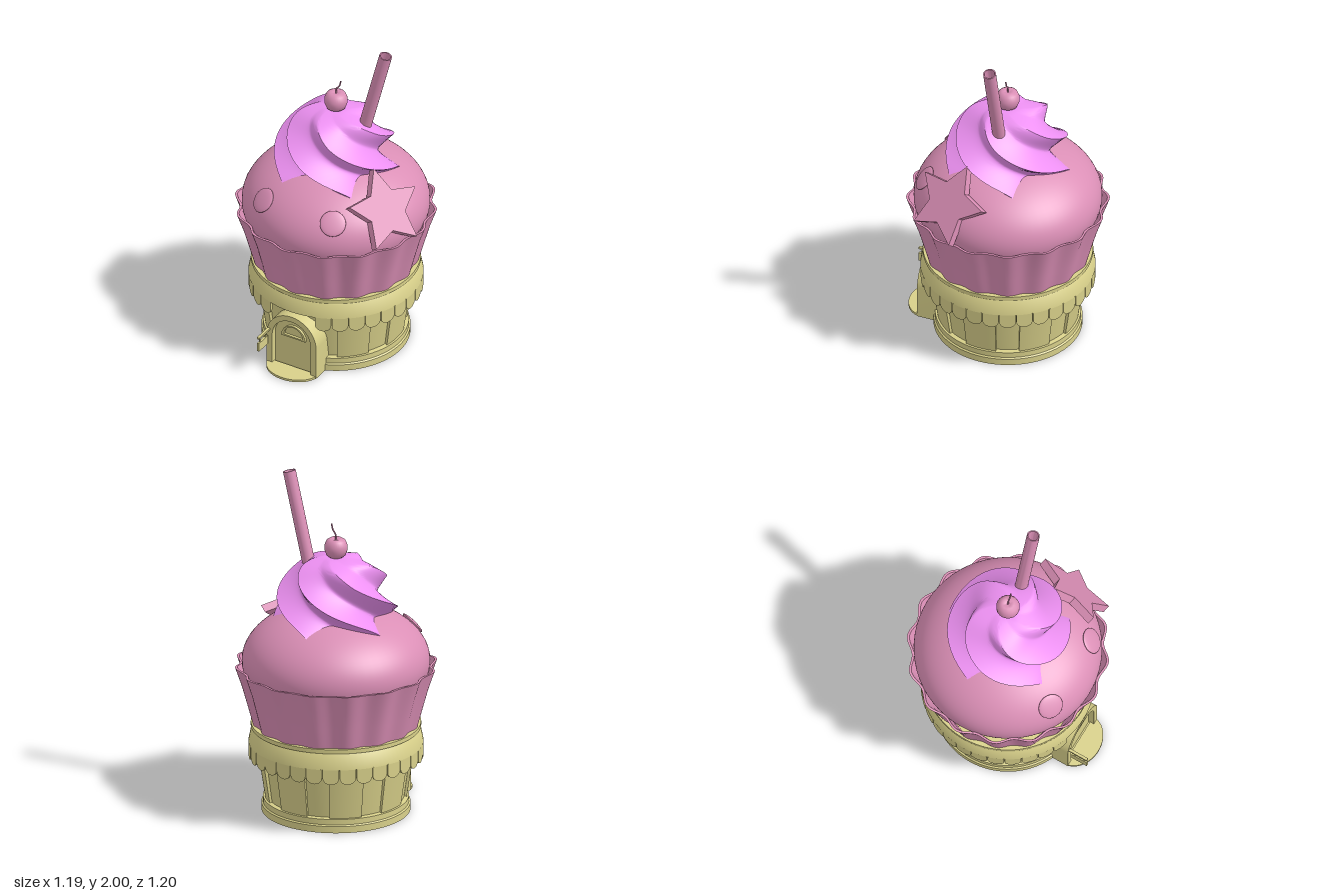
import * as THREE from 'three';
import { toCreasedNormals } from 'three/addons/utils/BufferGeometryUtils.js';

const paint = (color) => new THREE.MeshStandardMaterial({ color, side: THREE.DoubleSide });
const PINK = paint(0xdb8fb6), PURPLE = paint(0xee91f3), CREAM = paint(0xd8d08a);
const V = (x, y, z) => new THREE.Vector3(x, y, z);

function add(parent, name, geometry, material, x = 0, y = 0, z = 0) {
  const mesh = new THREE.Mesh(geometry, material);
  mesh.name = name;
  mesh.position.set(x, y, z);
  parent.add(mesh);
  return mesh;
}

function lathe(profile, segments = 96) {
  return new THREE.LatheGeometry(profile.map(([r, y]) => new THREE.Vector2(r, y)), segments);
}
const crease = (geometry, angle = 0.6) => toCreasedNormals(geometry, angle);

// Moves every vertex by rule(v, index)
function reshape(geometry, rule) {
  const pos = geometry.attributes.position, v = V(0, 0, 0);
  for (let i = 0; i < pos.count; i++) {
    rule(v.fromBufferAttribute(pos, i), i);
    pos.setXYZ(i, v.x, v.y, v.z);
  }
  return geometry;
}

const extrude = (shape, depth) =>
  new THREE.ExtrudeGeometry(shape, { depth, bevelEnabled: false, curveSegments: 20 });

// Doorway outline: straight sides with a round top
function arch(halfWidth, top, path = new THREE.Shape()) {
  path.moveTo(-halfWidth, 0);
  path.lineTo(halfWidth, 0);
  path.lineTo(halfWidth, top - halfWidth);
  path.absarc(0, top - halfWidth, halfWidth, 0, Math.PI, false);
  path.lineTo(-halfWidth, 0);
  return path;
}

function buildBase() {
  const base = new THREE.Group();
  base.name = 'base';
  add(base, 'plinth', crease(lathe([[0.385, 0], [0.427, 0], [0.427, 0.04], [0.418, 0.047],
    [0.418, 0.08], [0.385, 0.085], [0.385, 0]])), CREAM);
  add(base, 'wall', crease(lathe([[0.39, 0.07], [0.437, 0.42]])), CREAM);
  add(base, 'upperBand', crease(lathe([[0.437, 0.41], [0.502, 0.41], [0.485, 0.497], [0.479, 0.503],
    [0.488, 0.505], [0.488, 0.53], [0, 0.53]])), CREAM);

  // Raised panels bent around the sloping wall (the front one makes way for the door)
  for (let i = 1; i < 8; i++) {
    const panel = new THREE.BoxGeometry(0.46, 0.31, 0.03, 8, 1, 1).translate(0, 0.235, 0);
    reshape(panel, (v) => {
      const r = 0.39 + (v.y - 0.07) * 0.15 + v.z, a = v.x + (i * Math.PI) / 4;
      v.set(r * Math.sin(a), v.y, r * Math.cos(a));
    });
    add(base, 'wallPanel', crease(panel), CREAM);
  }

  // Awning scallops
  const tab = new THREE.Shape();
  tab.moveTo(0.047, 0.412);
  tab.lineTo(-0.047, 0.412);
  tab.lineTo(-0.047, 0.36);
  tab.absellipse(0, 0.36, 0.047, 0.04, Math.PI, Math.PI * 2, false);
  const tabGeometry = extrude(tab, 0.012).translate(0, 0, 0.488);
  const count = 32;
  for (let i = 2; i < count - 1; i++) {
    add(base, 'awningScallop', tabGeometry, CREAM).rotation.y = (i / count) * Math.PI * 2;
  }
  return base;
}

function buildDoor() {
  const door = new THREE.Group();
  door.name = 'door';
  const frame = arch(0.165, 0.37);
  frame.holes.push(arch(0.128, 0.335, new THREE.Path()));
  add(door, 'doorFrame', crease(extrude(frame, 0.17)), CREAM, 0, 0, 0.325);
  add(door, 'doorLeaf', crease(extrude(arch(0.13, 0.337), 0.04)), CREAM, 0, 0, 0.42);

  // Half-round window
  const pane = new THREE.Shape();
  pane.absarc(0, 0, 0.08, 0, Math.PI, false);
  const opening = new THREE.Path();
  opening.absarc(0, 0.01, 0.062, 0, Math.PI, false);
  pane.holes.push(opening);
  add(door, 'windowFrame', crease(extrude(pane, 0.015)), CREAM, 0, 0.21, 0.46);

  const step = new THREE.CylinderGeometry(0.165, 0.165, 0.014, 40, 1, false, -Math.PI / 2, Math.PI);
  step.scale(1, 1, 0.79);
  add(door, 'doorstep', step, CREAM, 0, 0.007, 0.47);

  // Hanging sign beside the door
  add(door, 'signArm', new THREE.BoxGeometry(0.016, 0.012, 0.14), CREAM, -0.15, 0.238, 0.545);
  add(door, 'signBoard', new THREE.BoxGeometry(0.014, 0.055, 0.1), CREAM, -0.15, 0.178, 0.565);
  for (const z of [0.535, 0.595]) {
    add(door, 'signHanger', new THREE.BoxGeometry(0.006, 0.035, 0.006), CREAM, -0.15, 0.218, z);
  }
  return door;
}

function buildCake() {
  const cake = new THREE.Group();
  cake.name = 'cake';

  // Rippled paper wrapper
  const wrapper = lathe([[0.45, 0.515], [0.468, 0.525], [0.5, 0.65], [0.53, 0.765], [0.567, 0.878],
    [0.553, 0.878], [0.515, 0.765], [0.45, 0.52]], 192);
  reshape(wrapper, (v) => {
    const wave = Math.cos(16 * Math.atan2(v.x, v.z)), r = Math.hypot(v.x, v.z);
    const k = 1 + wave * (0.012 + 0.02 * (v.y - 0.53)) / r * 0.85;
    v.set(v.x * k, v.y + wave * 0.004, v.z * k);
  });
  add(cake, 'wrapper', crease(wrapper, 0.7), PINK);

  const dome = new THREE.SphereGeometry(0.54, 64, 28, 0, Math.PI * 2, 0, Math.PI * 0.56);
  dome.scale(1, 0.33 / 0.54, 1);
  add(cake, 'cakeDome', dome, PINK, 0, 0.9, 0);

  // Round buttons lying on the dome
  for (const side of [-1, 1]) {
    const button = add(cake, 'button', new THREE.SphereGeometry(0.075, 32, 16), PINK, side * 0.232, 1.055, 0.42);
    button.scale.z = 0.2;
    const normal = V(side * 0.232 / 0.29, 0.155 / 0.109, 0.42 / 0.29).normalize();
    button.quaternion.setFromUnitVectors(V(0, 0, 1), normal);
  }

  // Star leaning on the dome
  const star = new THREE.Shape();
  for (let i = 0; i < 10; i++) {
    const r = i % 2 ? 0.125 : 0.245, a = Math.PI / 2 + (i * Math.PI) / 5;
    star[i ? 'lineTo' : 'moveTo'](r * Math.cos(a), r * Math.sin(a));
  }
  const zAxis = V(0.763, 0.588, 0.27).normalize();
  const xAxis = V(-0.126, 0.196, -0.07).cross(zAxis).normalize();
  const yAxis = zAxis.clone().cross(xAxis);
  const starMesh = add(cake, 'star', extrude(star, 0.05).translate(0, 0, -0.05), PINK, 0.451, 1.094, 0.193);
  starMesh.quaternion.setFromRotationMatrix(new THREE.Matrix4().makeBasis(xAxis, yAxis, zAxis));
  return cake;
}

function buildTopping() {
  const topping = new THREE.Group();
  topping.name = 'topping';

  // Five-ridged cream swirl; each profile point is ridge radius, height, twist
  const curve = new THREE.CatmullRomCurve3([
    V(0.37, 1.1, -0.3), V(0.36, 1.18, 0), V(0.345, 1.3, 0.75), V(0.29, 1.41, 1.4),
    V(0.215, 1.49, 1.83), V(0.1, 1.525, 2.25), V(0, 1.53, 2.6)], false, 'catmullrom');
  const profile = curve.getPoints(42), n = profile.length, segments = 120;
  const swirl = lathe(profile.map((p) => [p.x, p.y]), segments);
  reshape(swirl, (v, index) => {
    const p = profile[index % n], phi = (Math.floor(index / n) / segments) * Math.PI * 2;
    const k = ((5 * phi) / (Math.PI * 2)) % 1;
    const valley = 1 - Math.pow(Math.abs(2 * k - 1), 1.5);
    const r = Math.max(p.x, 0) * (1 - valley * (0.36 - 0.16 * (index % n) / n));
    const a = -Math.PI / 2 - phi + p.z;
    v.set(r * Math.cos(a), p.y, r * Math.sin(a));
  });
  add(topping, 'creamSwirl', crease(swirl, 0.8), PURPLE);

  // Cherry with a dimple and a bent stem
  const cherry = lathe([[0, 1.52], [0.03, 1.524], [0.055, 1.543], [0.067, 1.575], [0.067, 1.6],
    [0.055, 1.63], [0.035, 1.643], [0.015, 1.638], [0, 1.63]], 32);
  add(topping, 'cherry', crease(cherry, 1), PINK);
  const stem = new THREE.CatmullRomCurve3([V(0, 1.63, 0), V(0.003, 1.665, 0), V(0.022, 1.69, 0), V(0.032, 1.725, 0)]);
  add(topping, 'cherryStem', new THREE.TubeGeometry(stem, 16, 0.0045, 8), PINK);

  // Hollow straw
  const low = V(0.165, 1.4, -0.02), high = V(0.32, 1.99, -0.02), half = low.distanceTo(high) / 2;
  const straw = add(topping, 'straw', crease(lathe([[0.03, -half], [0.037, -half], [0.037, half],
    [0.03, half], [0.03, -half]], 32)), PINK);
  straw.position.addVectors(low, high).multiplyScalar(0.5);
  straw.quaternion.setFromUnitVectors(V(0, 1, 0), high.sub(low).normalize());
  return topping;
}

export function createModel() {
  const model = new THREE.Group();
  model.name = 'cupcakeHouse';
  const cake = buildCake();
  cake.getObjectByName('star').position.z -= 0.005;
  model.add(buildBase(), buildDoor(), cake, buildTopping());
  model.children.forEach((part) => part.position.set(-0.025, 0, -0.015));
  return model;
}
